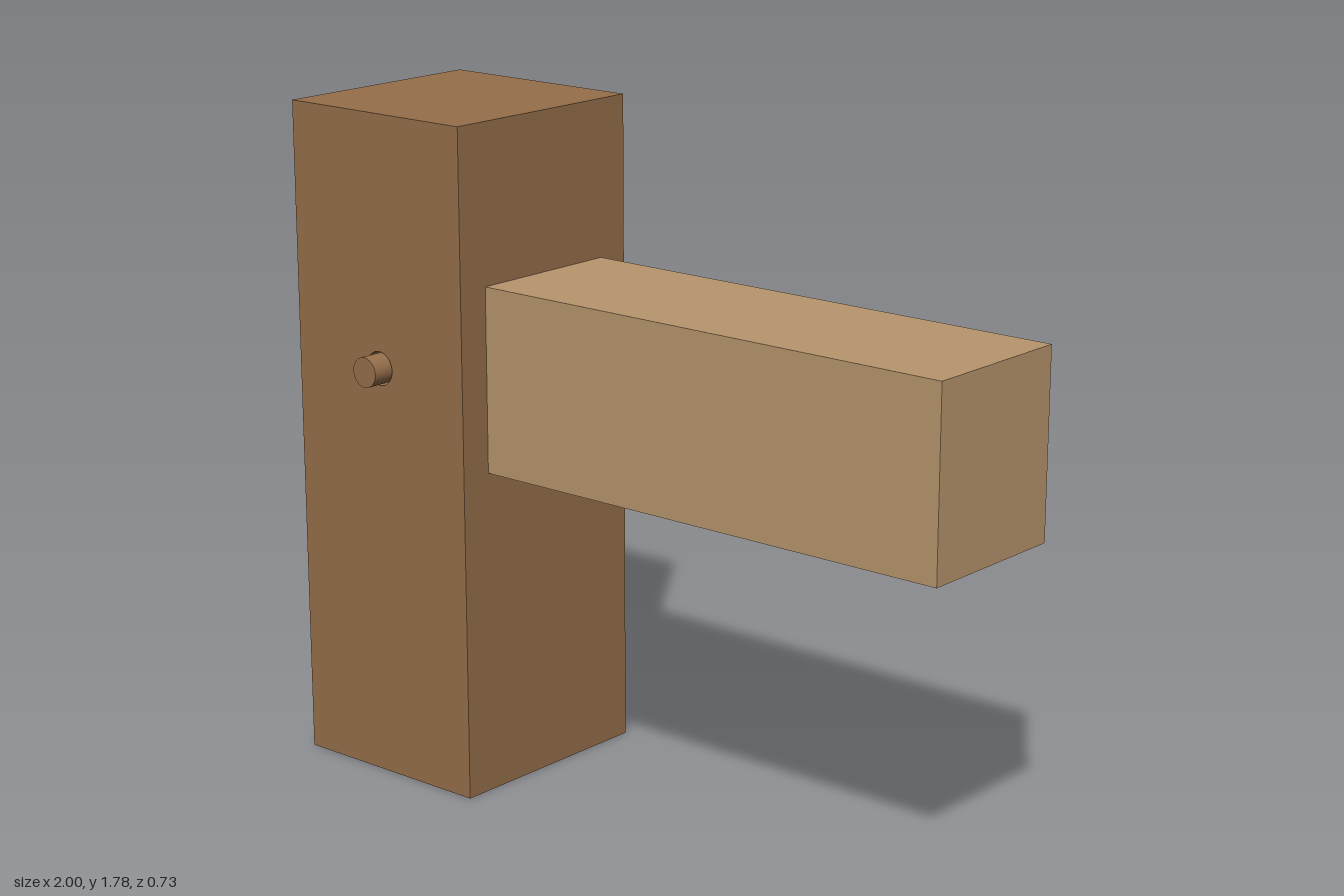
import * as THREE from 'three';

const POST = { x: -0.705, w: 0.59, h: 1.78, d: 0.62 };
const JOINT_Y = 1.115; // height of the joint's axis
const MORTISE = { h: 0.315, d: 0.26 };
const TENON = { h: 0.295, d: 0.24 };
const PIN_R = 0.04, BORE_R = 0.045;

// Rectangle centred on (0, y), with an optional hole
function rect(w, h, y, hole) {
  const s = new THREE.Shape([[-1, -1], [1, -1], [1, 1], [-1, 1]]
    .map(([a, b]) => new THREE.Vector2(a * w / 2, y + b * h / 2)));
  if (hole) s.holes.push(hole);
  return s;
}

const boreHole = () => new THREE.Path().absarc(0, JOINT_Y, BORE_R, 0, Math.PI * 2, true);

export function createModel() {
  const model = new THREE.Group();
  const darkWood = new THREE.MeshStandardMaterial({ color: 0x966f4b });
  const lightWood = new THREE.MeshStandardMaterial({ color: 0xb8966e });
  const boreWood = new THREE.MeshStandardMaterial({ color: 0x966f4b, side: THREE.BackSide });

  const add = (parent, name, geometry, material, x = 0, y = 0, z = 0) => {
    const mesh = new THREE.Mesh(geometry, material);
    mesh.name = name;
    mesh.position.set(x, y, z);
    parent.add(mesh);
    return mesh;
  };

  // Post: outer walls, the mortise through x and the pin bore through z
  const post = new THREE.Group();
  post.name = 'post';
  post.position.x = POST.x;
  model.add(post);
  const boreLength = (POST.d - MORTISE.d) / 2;
  for (const s of [1, -1]) {
    const turn = s > 0 ? 0 : Math.PI;
    const face = new THREE.ShapeGeometry(rect(POST.w, POST.h, POST.h / 2, boreHole()), 48);
    add(post, 'postFace', face.rotateY(turn), darkWood, 0, 0, s * POST.d / 2);

    const side = new THREE.ShapeGeometry(
      rect(POST.d, POST.h, POST.h / 2, rect(MORTISE.d, MORTISE.h, JOINT_Y)));
    add(post, 'postSide', side.rotateY(s * Math.PI / 2), darkWood, s * POST.w / 2);

    const end = new THREE.PlaneGeometry(POST.w, POST.d).rotateX(-s * Math.PI / 2);
    add(post, 'postEnd', end, darkWood, 0, s > 0 ? POST.h : 0);

    // Mortise lining faces inward
    const cheek = new THREE.ShapeGeometry(rect(POST.w, MORTISE.h, JOINT_Y, boreHole()), 48);
    add(post, 'mortiseCheek', cheek.rotateY(Math.PI - turn), darkWood, 0, 0, s * MORTISE.d / 2);
    const lining = new THREE.PlaneGeometry(POST.w, MORTISE.d).rotateX(s * Math.PI / 2);
    add(post, 'mortiseLining', lining, darkWood, 0, JOINT_Y + s * MORTISE.h / 2);

    const bore = new THREE.CylinderGeometry(BORE_R, BORE_R, boreLength, 48, 1, true);
    add(post, 'pinBore', bore.rotateX(Math.PI / 2), boreWood,
      0, JOINT_Y, s * (MORTISE.d + boreLength) / 2);
  }

  // Beam with a drilled tenon running through the post
  const beam = new THREE.Group();
  beam.name = 'beam';
  model.add(beam);
  add(beam, 'beamBody', new THREE.BoxGeometry(1.41, 0.49, 0.44), lightWood, 0.295, JOINT_Y);
  const tenon = new THREE.ExtrudeGeometry(rect(POST.w, TENON.h, JOINT_Y, boreHole()),
    { depth: TENON.d, bevelEnabled: false, curveSegments: 48 });
  add(beam, 'tenon', tenon, lightWood, POST.x, 0, -TENON.d / 2);

  // Locking pin
  const pin = new THREE.CylinderGeometry(PIN_R, PIN_R, 0.73, 48).rotateX(Math.PI / 2);
  add(model, 'lockingPin', pin, darkWood, POST.x, JOINT_Y);

  return model;
}
